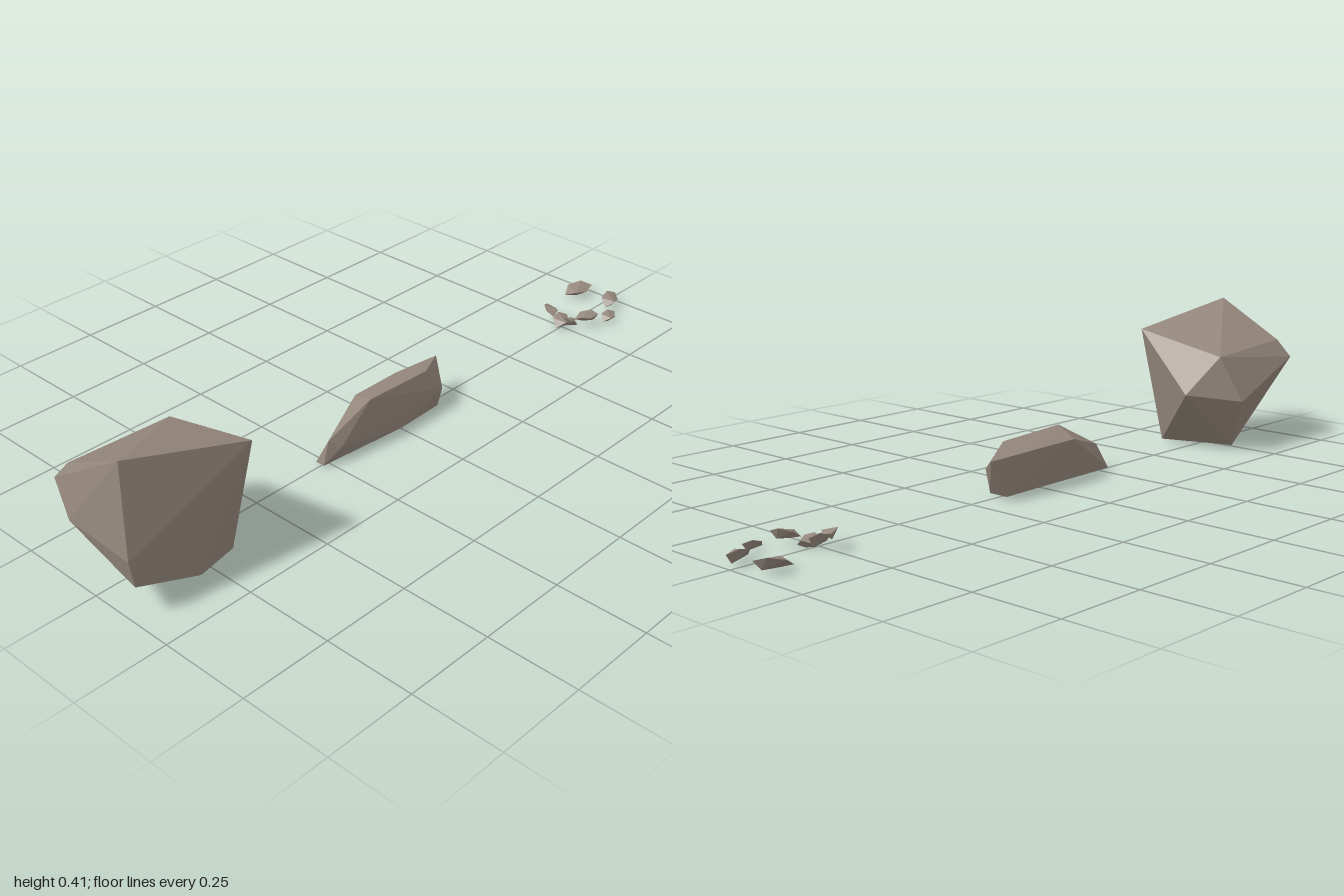
import * as THREE from 'three';
import { ConvexGeometry } from 'three/addons/geometries/ConvexGeometry.js';

export function createModel() {
  const group = new THREE.Group();
  group.name = 'rocks';
  const stone = new THREE.MeshStandardMaterial({ color: 0x94877c, flatShading: true });
  stone.name = 'warm grey stone';

  // Faceted rock wrapped around a few corner points
  const rock = (name, corners) => {
    const mesh = new THREE.Mesh(new ConvexGeometry(corners.map(c => new THREE.Vector3(...c))), stone);
    mesh.name = name;
    group.add(mesh);
    return mesh;
  };

  // Large boulder
  rock('boulder', [
    [-0.975, 0.408, 0.105], [-0.653, 0.338, 0.173], // crown
    [-0.66, 0.283, -0.113], [-0.96, 0.3, -0.108], [-0.975, 0.25, -0.147], // back shoulder
    [-0.575, 0.175, -0.055], [-0.69, 0.155, -0.174], // outer and back bulges
    [-1, 0.17, 0.14], [-0.985, 0.09, 0.135], [-1, 0.18, -0.07], // flat side
    [-0.79, 0.008, 0.125], [-0.67, 0.008, 0.102], [-0.74, 0.008, -0.105], // foot
  ]);

  // Thin upright slab
  rock('slab', [
    [-0.275, 0.008, -0.015], [-0.275, 0.008, 0.012], [-0.255, 0.075, 0.012], // narrow end
    [-0.12, 0.148, 0.033], [0.1, 0.138, 0.03], // top ridge
    [-0.1, 0.122, -0.042], [0.06, 0.12, -0.045], [0.215, 0.113, -0.035], // back rim
    [0.15, 0.07, 0.046], [-0.225, 0.05, 0.03], [0, 0.008, 0.036], // front
    [0.15, 0.008, 0.03], [0.15, 0.008, -0.03], // foot
  ]);

  // Small shards: one angular chip, sized and turned for each place
  const chip = [
    [-0.5, 0.15, -0.1], [-0.3, 0.6, 0.4], [-0.2, 0.75, -0.45], [0.25, 1, -0.25],
    [0.5, 0.7, 0.2], [0.1, 0.45, 0.5], [0.3, 0, 0.1], [-0.15, 0, 0.1],
  ];
  const shards = [ // x, y, z, length, height, width, turn
    [0.748, 0.032, -0.045, 0.06, 0.025, 0.045, 1.2],
    [0.752, 0.004, -0.005, 0.06, 0.036, 0.05, 0.4],
    [0.768, 0.002, 0.012, 0.055, 0.032, 0.04, 2.4],
    [0.805, 0.022, 0.05, 0.07, 0.028, 0.038, -0.6],
    [0.876, 0.006, 0.08, 0.055, 0.026, 0.04, 0.2],
    [0.958, 0.008, 0.025, 0.075, 0.034, 0.05, 0.45],
    [0.945, 0.01, -0.086, 0.09, 0.033, 0.06, -0.25],
  ];
  shards.forEach(([x, y, z, length, height, width, turn], i) => {
    const shard = rock('shard' + (i + 1), chip);
    shard.scale.set(length, height, width);
    shard.position.set(x, y, z);
    shard.rotation.y = turn;
  });

  return group;
}
